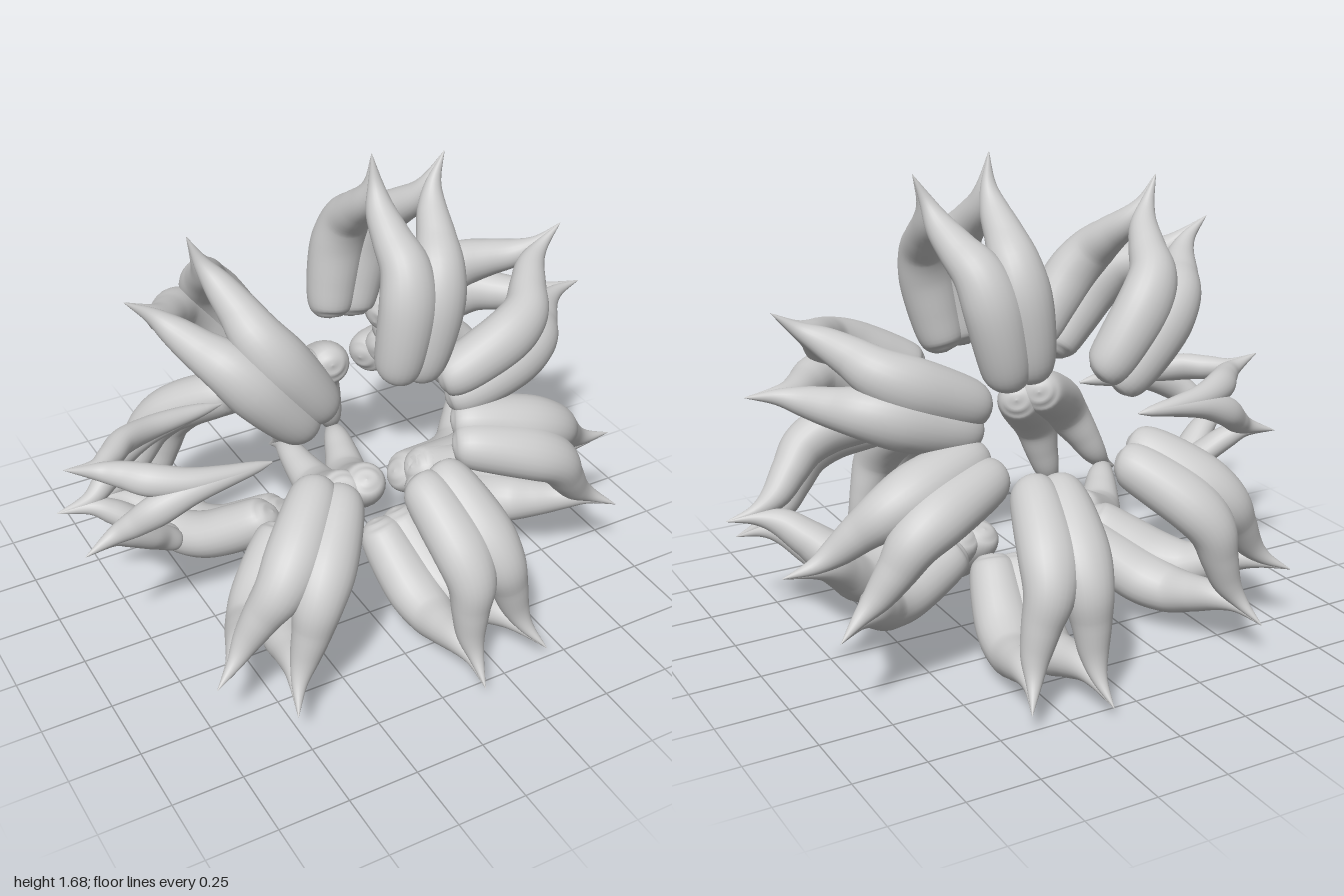
import * as THREE from 'three';

const material = new THREE.MeshStandardMaterial({ color: 0xcccccc, side: THREE.DoubleSide });
const CENTRE_Y = 0.67;
const MERIDIANS = [0, 127, -127].map(THREE.MathUtils.degToRad); // three ribs around the x axis

// Smooth sweep: keys are [x, y, z, radius along ref, radius across ref]
function sweep(keys, ref, steps = 48, sides = 24) {
  const path = new THREE.CatmullRomCurve3(keys.map(k => new THREE.Vector3(k[0], k[1], k[2])), false, 'catmullrom');
  const size = new THREE.CatmullRomCurve3(keys.map(k => new THREE.Vector3(k[3], k[4], 0)), false, 'catmullrom');
  const pos = [], index = [];
  for (let i = 0; i <= steps; i++) {
    const t = i / steps, p = path.getPoint(t), r = size.getPoint(t), tan = path.getTangent(t);
    const a = ref.clone().addScaledVector(tan, -ref.dot(tan)).normalize();
    const b = new THREE.Vector3().crossVectors(tan, a);
    for (let j = 0; j < sides; j++) {
      const ang = j / sides * Math.PI * 2;
      const v = p.clone()
        .addScaledVector(a, Math.cos(ang) * Math.max(r.x, 0.0005))
        .addScaledVector(b, Math.sin(ang) * Math.max(r.y, 0.0005));
      pos.push(v.x, v.y, v.z);
      if (i < steps) {
        const k = i * sides + j, n = i * sides + (j + 1) % sides;
        index.push(k, n, k + sides, n, n + sides, k + sides);
      }
    }
  }
  const g = new THREE.BufferGeometry();
  g.setAttribute('position', new THREE.Float32BufferAttribute(pos, 3));
  g.setIndex(index);
  g.computeVertexNormals();
  return g;
}

// One lobe, from the rounded pod end to the horn tip:
// [along, half gap between pods, sideways, sideways radius, thickness radius]
const LOBE = [
  [-0.012, 0.22, 0.045, 0, 0],
  [0.0, 0.225, 0.045, 0.05, 0.045],
  [0.04, 0.235, 0.045, 0.08, 0.078],
  [0.15, 0.243, 0.05, 0.094, 0.088],
  [0.28, 0.238, 0.055, 0.1, 0.087],
  [0.38, 0.2, 0.065, 0.087, 0.08],
  [0.45, 0.125, 0.085, 0.068, 0.065],
  [0.52, 0.05, 0.1, 0.05, 0.05],
  [0.6, 0.012, 0.113, 0.026, 0.024],
  [0.7, 0, 0.14, 0.001, 0.001],
];

const lobeGeometries = [];
for (const sw of [1, -1]) for (const sn of [1, -1]) {
  lobeGeometries.push(sweep(LOBE.map(([u, n, w, rw, rt]) => [sw * w, u, sn * n, rw, rt]), new THREE.Vector3(1, 0, 0)));
}

// Two grooved pods arching together into a pair of horns
function hornedPodPair() {
  const pair = new THREE.Group();
  pair.name = 'hornedPodPair';
  for (const g of lobeGeometries) {
    const lobe = new THREE.Mesh(g, material);
    lobe.name = 'podLobe';
    pair.add(lobe);
  }
  return pair;
}

// Three-way piece on the axis: [x, radius, swing toward the rib, radial size, cross size]
const HORN_END = [
  [-0.75, 0.17, 0.27, 0.045, 0.055],
  [-0.82, 0.135, 0.6, 0.042, 0.046],
  [-0.89, 0.13, 0.92, 0.028, 0.03],
  [-1.0, 0.165, 1, 0.001, 0.001],
];
const LONG_LEG = [
  [-0.35, 0.22, 0, 0.003, 0.003],
  [-0.42, 0.22, 0, 0.022, 0.022],
  [-0.52, 0.215, 0.02, 0.035, 0.034],
  [-0.64, 0.2, 0.08, 0.042, 0.046],
  ...HORN_END,
];
const SHORT_LEG = [
  [-0.625, 0.255, 0.05, 0.002, 0.002],
  [-0.635, 0.25, 0.05, 0.035, 0.035],
  [-0.69, 0.21, 0.1, 0.045, 0.045],
  ...HORN_END,
];

function tripleJunction() {
  const group = new THREE.Group();
  group.name = 'tripleJunction';
  const deg = THREE.MathUtils.degToRad;
  // [leg angle, the two neighbouring rib angles, profile]
  const legs = [
    [63.5, [0, 127], LONG_LEG],
    [-63.5, [0, -127], LONG_LEG],
    [180, [127, 233], SHORT_LEG],
  ];
  for (const [from, ribs, profile] of legs) for (const to of ribs) {
    const keys = profile.map(([x, r, f, ra, rb]) => {
      const a = deg(from + (to - from) * f);
      return [x, r * Math.cos(a), r * Math.sin(a), ra, rb];
    });
    const ref = new THREE.Vector3(0, Math.cos(deg(from)), Math.sin(deg(from)));
    const leg = new THREE.Mesh(sweep(keys, ref), material);
    leg.name = 'junctionLeg';
    group.add(leg);
  }
  return group;
}

export function createModel() {
  const model = new THREE.Group();
  model.name = 'hornedPodCage';
  const cage = new THREE.Group();
  cage.name = 'cage';
  cage.position.y = CENTRE_Y;
  model.add(cage);

  // Pod pairs in each rib: [x, distance from axis, lean in degrees]
  const places = [[-0.21, 0.25, 127.8], [0.14, 0.31, 79.7], [0.3, 0.2, 21.3]];
  for (const turn of MERIDIANS) {
    const rib = new THREE.Group();
    rib.name = 'rib';
    rib.rotation.x = turn;
    for (const [x, r, lean] of places) {
      const pair = hornedPodPair();
      pair.position.set(x, r, 0);
      pair.rotation.z = THREE.MathUtils.degToRad(lean - 90);
      rib.add(pair);
    }
    cage.add(rib);
  }
  cage.add(tripleJunction());
  return model;
}
